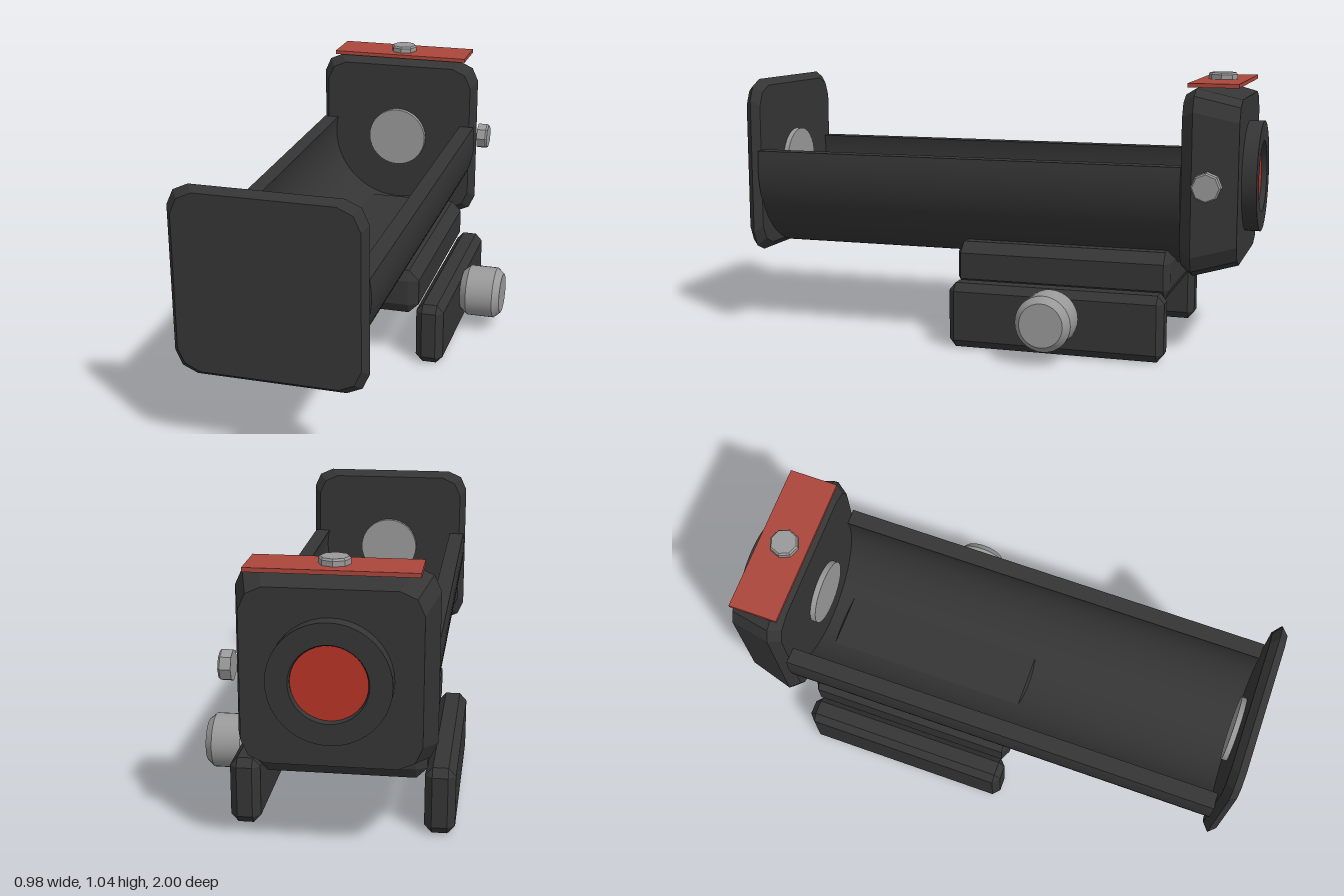
import * as THREE from 'three';
import { toCreasedNormals } from 'three/addons/utils/BufferGeometryUtils.js';
import { ConvexGeometry } from 'three/addons/geometries/ConvexGeometry.js';

const CX = -0.085, CY = 0.655; // axis of the trough, end plate and head

export function createModel() {
  const model = new THREE.Group();
  const mat = (name, color) => {
    const m = new THREE.MeshStandardMaterial({ color });
    m.name = name;
    return m;
  };
  const black = mat('matteBlack', 0x353535);
  const steel = mat('steel', 0x9a9a9a);
  const plateRed = mat('plateRed', 0xab463a);
  const lensRed = mat('lensRed', 0xb83327);

  const add = (name, geometry, material, x, y, z) => {
    const mesh = new THREE.Mesh(geometry, material);
    mesh.name = name;
    mesh.position.set(x, y, z);
    model.add(mesh);
    return mesh;
  };

  // Rounded-square slab from sections of [z, half width]
  const squareSlab = (sections) => {
    const pts = [];
    for (const [z, h] of sections)
      for (const sx of [-1, 1])
        for (const sy of [-1, 1])
          for (const [a, b] of [[0, 0.08], [0.025, 0.025], [0.08, 0]])
            pts.push(new THREE.Vector3(sx * (h - a), sy * (h - b), z));
    return new ConvexGeometry(pts);
  };

  // Box with every edge cut by its own bevel on each axis
  const bevelBox = (w, h, d, bx, by, bz) => {
    const pts = [];
    for (const sx of [-0.5, 0.5])
      for (const sy of [-0.5, 0.5])
        for (const sz of [-0.5, 0.5])
          for (let i = 0; i < 3; i++)
            pts.push(new THREE.Vector3(
              sx * (w - (i === 0 ? 0 : 2 * bx)),
              sy * (h - (i === 1 ? 0 : 2 * by)),
              sz * (d - (i === 2 ? 0 : 2 * bz))));
    return new ConvexGeometry(pts);
  };

  // Turned part along y from [radius, height] pairs, sharp at its edges
  const turned = (profile, sides, crease = 0.5) => toCreasedNormals(
    new THREE.LatheGeometry(profile.map(([r, y]) => new THREE.Vector2(r, y)), sides), crease);

  // Square end plate at the front and tapered head at the back
  add('frontPlate', squareSlab([[0.945, 0.32], [0.973, 0.346], [1, 0.325]]), black, CX, CY, 0);
  add('rearHead', squareSlab([[-0.74, 0.32], [-0.782, 0.346], [-0.945, 0.305]]), black, CX, CY, 0);

  // Open trough, slightly more than half a tube
  const R = 0.345, r = 0.285, rim = 0.065;
  const a = Math.asin(rim / R), b = Math.asin(rim / r);
  const section = new THREE.Shape();
  section.absarc(0, 0, R, Math.PI - a, 2 * Math.PI + a, false);
  section.absarc(0, 0, r, 2 * Math.PI + b, Math.PI - b, true);
  add('trough', toCreasedNormals(new THREE.ExtrudeGeometry(section,
    { depth: 1.69, bevelEnabled: false, curveSegments: 32 }), 0.5), black, CX, CY, -0.742);

  // Steel contact discs inside both ends
  for (const [name, z] of [['frontContact', 0.937], ['rearContact', -0.731]])
    add(name, new THREE.CylinderGeometry(0.125, 0.125, 0.024, 32), steel, CX, CY, z).rotation.x = Math.PI / 2;

  // Rear collar with a recessed red disc
  const collar = turned([[0.13, 0], [0.21, 0], [0.21, 0.06], [0.135, 0.06], [0.13, 0.05], [0.13, 0]], 40);
  add('rearCollar', collar, black, CX, CY, -0.94).rotation.x = -Math.PI / 2;
  add('rearDisc', new THREE.CylinderGeometry(0.131, 0.131, 0.04, 40), lensRed, CX, CY, -0.96).rotation.x = Math.PI / 2;

  // Red plate on the head
  add('topPlate', new THREE.BoxGeometry(0.58, 0.015, 0.185), plateRed, CX, 1.0125, -0.845);

  // Eight-sided bolts on the top and the left side
  const bolt = turned([[0, 0], [0.055, 0], [0.055, 0.038], [0.049, 0.045], [0, 0.045]], 8, 0.1);
  add('topBolt', bolt, steel, CX, 1.0, -0.84);
  add('sideBolt', bolt, steel, 0.26, CY, -0.84).rotation.z = -Math.PI / 2;

  // Mounting block under the trough and the two clamp bars beside it
  add('mountBlock', bevelBox(0.61, 0.18, 0.83, 0.04, 0.04, 0.02), black, CX, 0.3, -0.285);
  for (const [name, side] of [['leftClamp', 1], ['rightClamp', -1]])
    add(name, bevelBox(0.11, 0.25, 0.83, 0.027, 0.03, 0.025), black, CX + side * 0.35, 0.125, -0.285);

  // Clamp knob
  const knob = turned([[0, 0], [0.082, 0], [0.105, 0.028], [0.105, 0.138], [0.082, 0.165], [0, 0.165]], 32);
  add('clampKnob', knob, steel, 0.32, 0.155, -0.285).rotation.z = -Math.PI / 2;

  return model;
}
